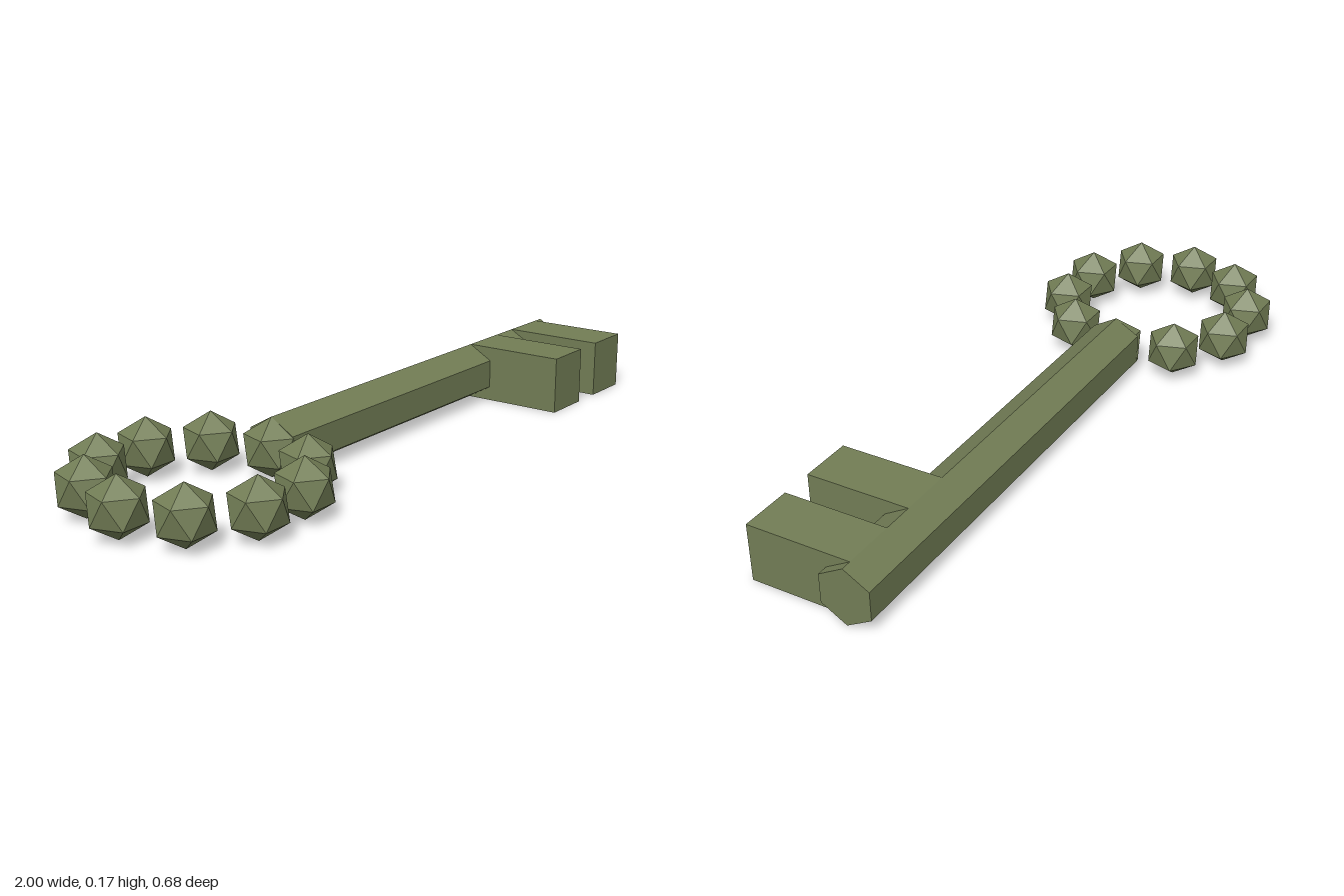
import * as THREE from 'three';

export function createModel() {
  const key = new THREE.Group();
  key.name = 'key';
  const olive = new THREE.MeshStandardMaterial({ name: 'olive metal', color: 0x727d55, flatShading: true });
  const R = 0.0825; // half the thickness of every part

  const add = (name, geometry, x, y, z, parent = key) => {
    const mesh = new THREE.Mesh(geometry, olive);
    mesh.name = name;
    mesh.position.set(x, y, z);
    parent.add(mesh);
    return mesh;
  };

  // Hexagonal shaft along x, with an edge on top
  const start = -0.37, end = 1;
  const shaft = new THREE.CylinderGeometry(R, R, end - start, 6);
  shaft.rotateY(Math.PI / 2).rotateZ(-Math.PI / 2);
  add('shaft', shaft, (start + end) / 2, R, 0);

  // Two teeth pointing forward
  const tooth = new THREE.BoxGeometry(0.15, 2 * R, 0.3);
  for (const x of [0.655, 0.895]) add('tooth', tooth, x, R, 0.15);

  // Ring handle of ten faceted beads, each standing on a corner
  const bow = new THREE.Group();
  bow.name = 'bow';
  key.add(bow);
  const bead = new THREE.IcosahedronGeometry(R, 0);
  bead.rotateX(-Math.atan((1 + Math.sqrt(5)) / 2));
  for (let i = 0; i < 10; i++) {
    const a = (i / 10) * Math.PI * 2;
    add('bead', bead, -0.648 + 0.278 * Math.cos(a), R, 0.278 * Math.sin(a), bow);
  }
  return key;
}
